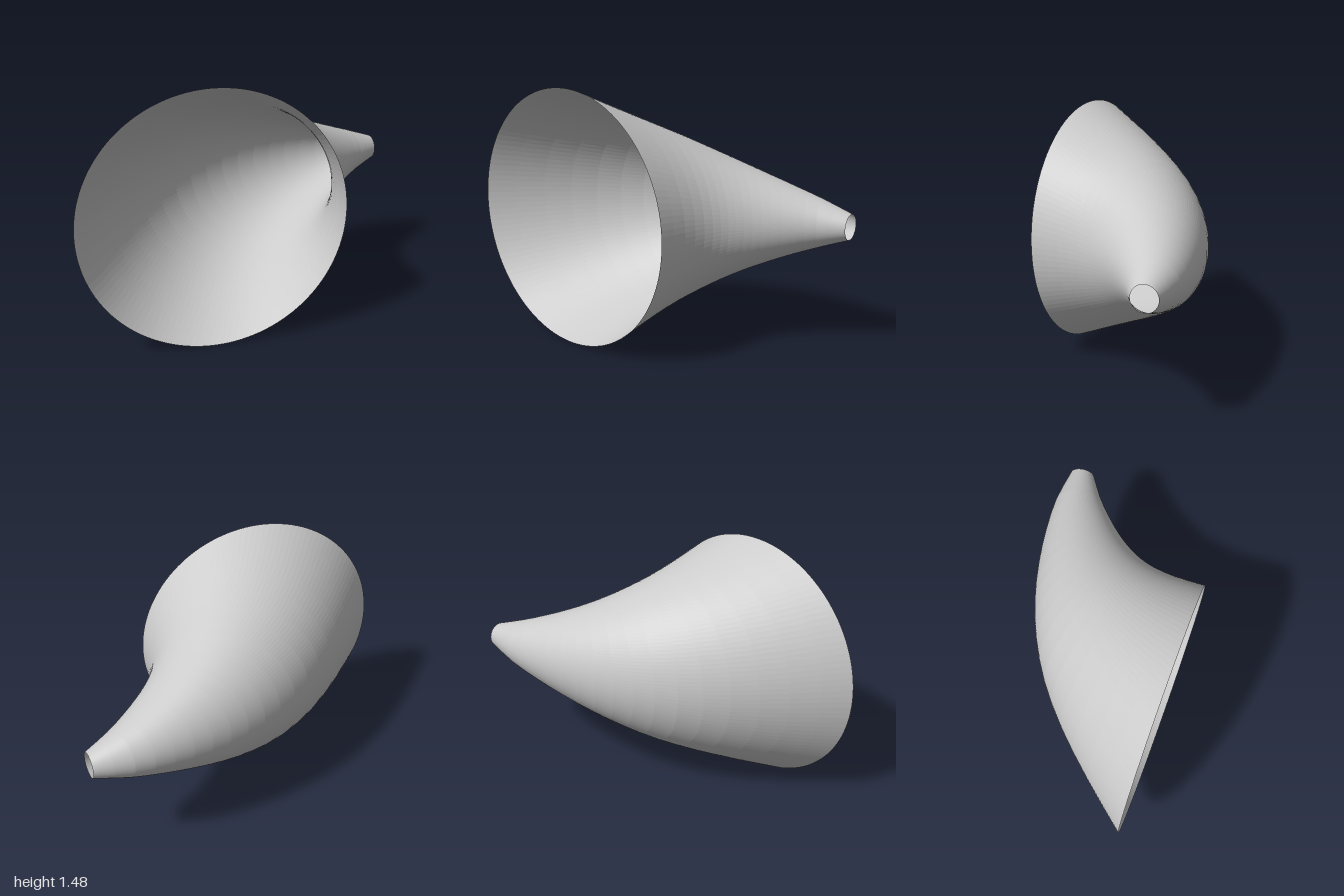
import * as THREE from 'three';

// Paired [x, z] points along the outer and inner bend of the horn, mouth to tip
const OUTER = [[-1, 0.52], [-0.78, 0.255], [-0.56, 0.018], [-0.34, -0.171], [-0.12, -0.306],
  [0.1, -0.401], [0.32, -0.464], [0.54, -0.504], [0.76, -0.523], [0.978, -0.505]];
const INNER = [[0.475, 0.52], [0.479, 0.345], [0.499, 0.215], [0.533, 0.12], [0.575, 0.045],
  [0.628, -0.03], [0.696, -0.108], [0.778, -0.19], [0.872, -0.273], [1, -0.362]];
const AXIS_Y = 0.7375;
const RINGS = 18;
const SIDES = 128;

const bend = (points) =>
  new THREE.CatmullRomCurve3(points.map(([x, z]) => new THREE.Vector3(x, AXIS_Y, z)), false, 'catmullrom', 0.5);

// Circular cross-sections, each spanning the outer and inner bends
function hornGeometry() {
  const outer = bend(OUTER);
  const inner = bend(INNER);
  const positions = [];
  const indices = [];
  for (let i = 0; i <= RINGS; i++) {
    const a = outer.getPoint(i / RINGS);
    const b = inner.getPoint(i / RINGS);
    const centre = a.clone().add(b).multiplyScalar(0.5);
    const half = b.clone().sub(centre);
    const radius = half.length();
    for (let j = 0; j < SIDES; j++) {
      const angle = (j / SIDES) * Math.PI * 2;
      const p = centre.clone().addScaledVector(half, Math.cos(angle));
      positions.push(p.x, p.y + radius * Math.sin(angle), p.z);
      if (i === RINGS) continue;
      const k = i * SIDES + j;
      const n = i * SIDES + ((j + 1) % SIDES);
      indices.push(k, k + SIDES, n, n, k + SIDES, n + SIDES);
    }
  }
  const geometry = new THREE.BufferGeometry();
  geometry.setAttribute('position', new THREE.Float32BufferAttribute(positions, 3));
  geometry.setIndex(indices);
  geometry.computeVertexNormals();
  return geometry;
}

export function createModel() {
  const group = new THREE.Group();
  group.name = 'curvedHorn';

  // Thin shell, open at the mouth and at the tip
  const material = new THREE.MeshStandardMaterial({ color: 0xcccccc, side: THREE.DoubleSide, flatShading: true });
  const horn = new THREE.Mesh(hornGeometry(), material);
  horn.name = 'hornShell';
  group.add(horn);
  return group;
}
